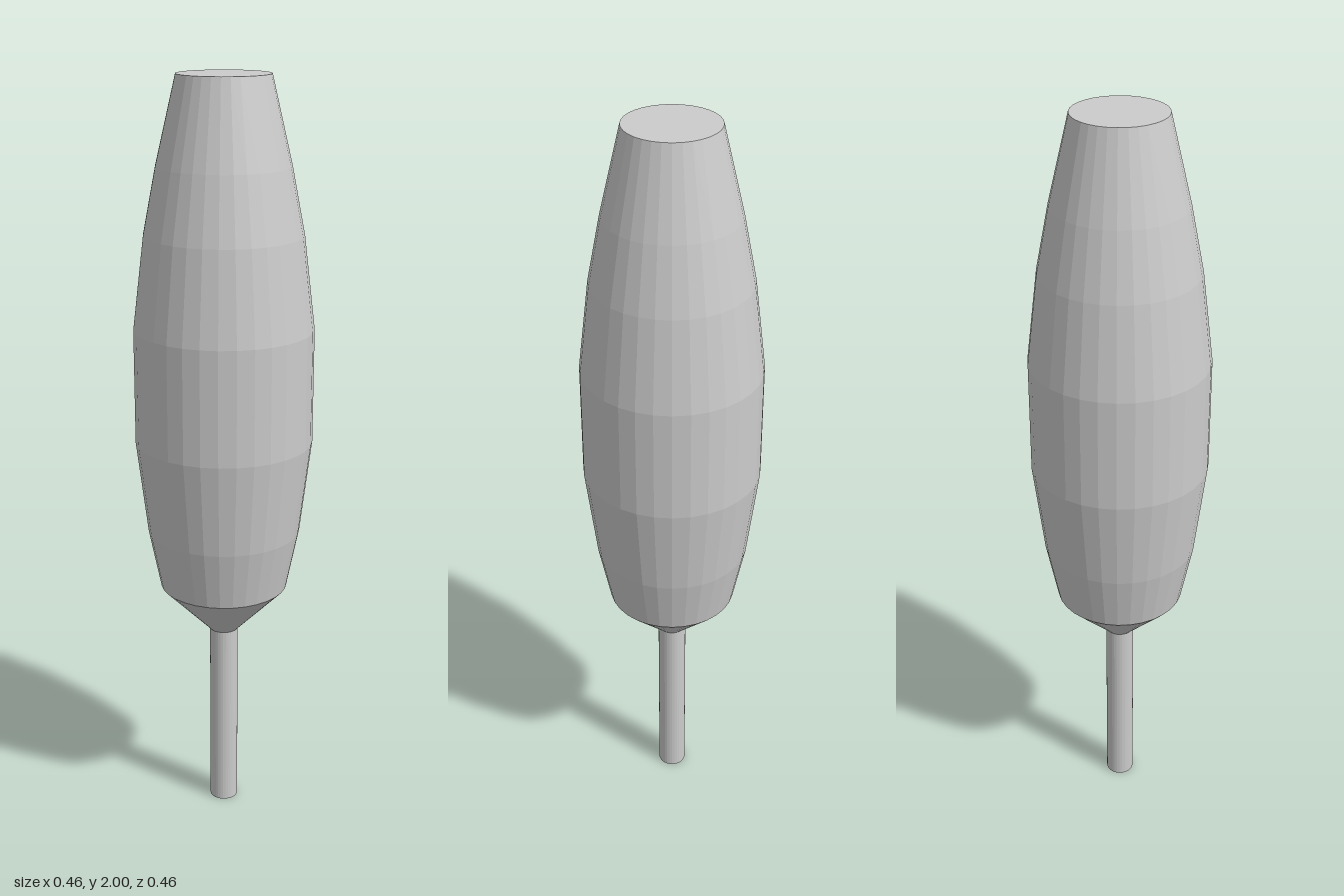
import * as THREE from 'three';

const SIDES = 32;

// Faceted solid of revolution from [radius, height] pairs, bottom to top
function turned(name, profile, material) {
  const points = profile.map(([r, y]) => new THREE.Vector2(r, y));
  const mesh = new THREE.Mesh(new THREE.LatheGeometry(points, SIDES), material);
  mesh.name = name;
  return mesh;
}

export function createModel() {
  const grey = new THREE.MeshStandardMaterial({ color: 0xcccccc, flatShading: true });
  grey.name = 'light grey';

  const model = new THREE.Group();
  model.name = 'spindle';

  // Thin stem with a closed foot
  model.add(turned('stem', [[0, 0], [0.038, 0], [0.038, 0.53]], grey));

  // Cone that widens from the stem
  model.add(turned('neckCone', [[0.038, 0.525], [0.17, 0.66]], grey));

  // Bulging body with a flat top
  model.add(turned('body', [
    [0.17, 0.66], [0.202, 0.82], [0.232, 1.07], [0.232, 1.37],
    [0.203, 1.61], [0.17, 1.78], [0.118, 2], [0, 2],
  ], grey));

  return model;
}
